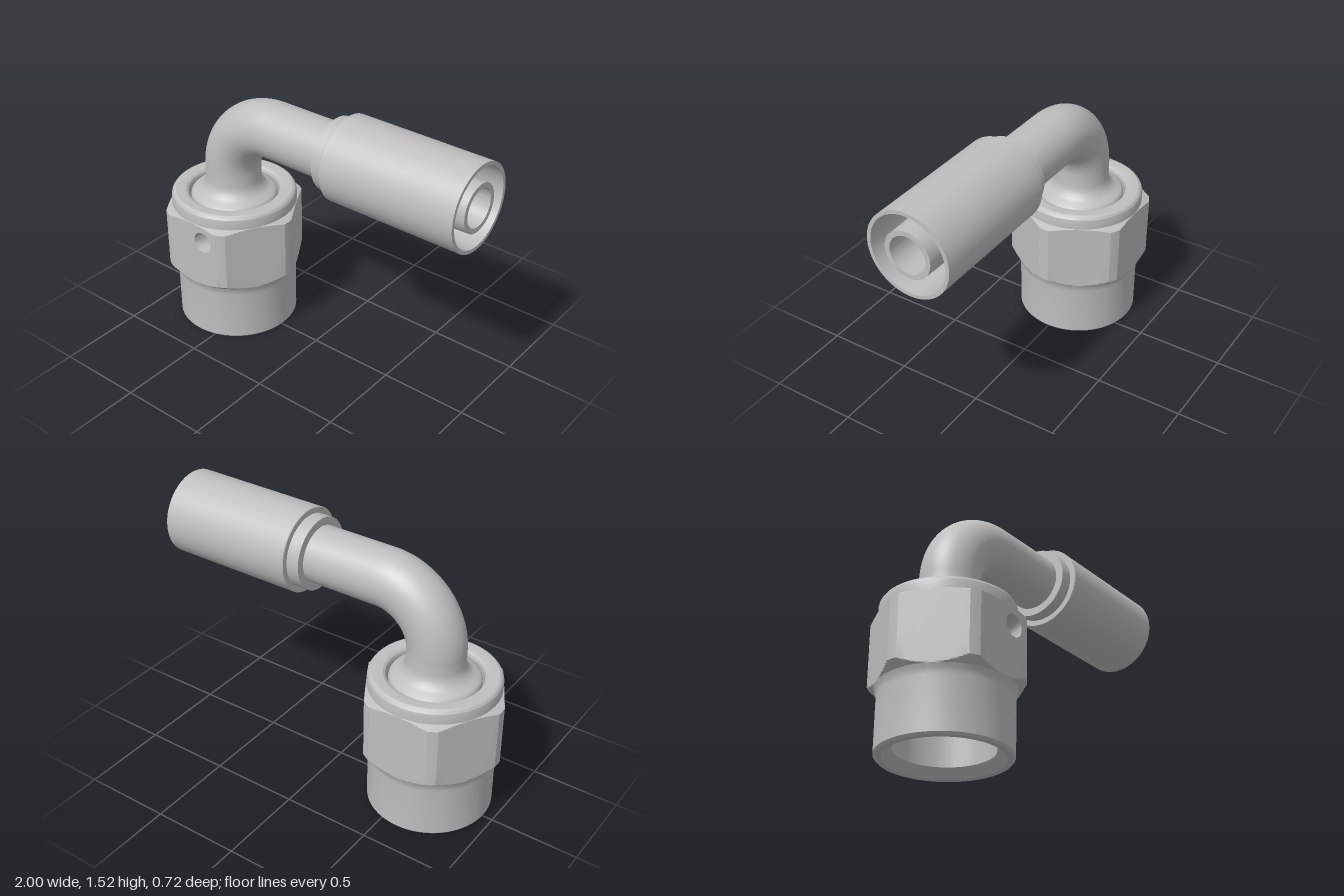
import * as THREE from 'three';
import { toCreasedNormals } from 'three/addons/utils/BufferGeometryUtils.js';

const NUT_X = -0.6, FLAT = 0.36;          // nut axis and half the width across flats
const TUBE_R = 0.158, TUBE_Y = 1.283;     // elbow tube radius and height of its outlet
const BEND_R = 0.318;
const HOLE = { x: 0.08, y: 0.645, r: 0.062 };

const lathe = (pts, segments = 96) =>
  new THREE.LatheGeometry(pts.map(([r, y]) => new THREE.Vector2(r, y)), segments);

export function createModel() {
  const model = new THREE.Group();
  const steel = new THREE.MeshStandardMaterial({ color: 0xbfbfbf });
  steel.name = 'brushedSteel';

  function add(parent, name, geometry, x = 0, y = 0, z = 0) {
    const mesh = new THREE.Mesh(geometry, steel);
    mesh.name = name;
    mesh.position.set(x, y, z);
    parent.add(mesh);
    return mesh;
  }

  // Swivel nut: a turned profile whose radius is limited by a hexagon
  const nut = new THREE.Group();
  nut.name = 'swivelNut';
  nut.position.x = NUT_X;
  model.add(nut);

  const steps = 6;
  const cone = (r0, y0, r1, y1) => Array.from({ length: steps + 1 }, (_, i) =>
    [r0 + (r1 - r0) * i / steps, y0 + (y1 - y0) * i / steps]);
  const patchLow = 0.5, patchHigh = 0.725;
  const nutProfile = [
    [0.256, 0.05], [0.305, 0], [0.336, 0], [0.346, 0.012], [0.346, 0.3],
    [0.348, 0.318], [0.353, 0.335],
    ...cone(0.36, 0.352, 0.4, 0.387),
    [0.4, patchLow], [0.4, patchHigh],
    ...cone(0.4, 0.732, 0.36, 0.747),
    [0.357, 0.747], [0.357, 0.79], [0.354, 0.805], [0.346, 0.817], [0.333, 0.824],
    [0.29, 0.824], [0.273, 0.82], [0.261, 0.811], [0.256, 0.797], [0.256, 0.05],
  ];
  const turned = lathe(nutProfile, 180);
  const p = turned.attributes.position;
  for (let i = 0; i < p.count; i++) {
    const r = Math.hypot(p.getX(i), p.getZ(i));
    const angle = Math.atan2(p.getX(i), p.getZ(i));
    const local = angle - Math.round(angle / (Math.PI / 3)) * Math.PI / 3;
    const k = Math.min(1, FLAT / Math.cos(local) / r);
    p.setX(i, p.getX(i) * k);
    p.setZ(i, p.getZ(i) * k);
  }

  // Open a window in the front flat, to be filled by a plate with the hole
  const halfPatch = FLAT * Math.tan(THREE.MathUtils.degToRad(24));
  const index = turned.index.array, kept = [];
  for (let i = 0; i < index.length; i += 3) {
    const tri = [index[i], index[i + 1], index[i + 2]];
    const inside = tri.every(v => p.getZ(v) > FLAT - 0.001 &&
      Math.abs(p.getX(v)) < halfPatch + 0.001 &&
      p.getY(v) > patchLow - 0.001 && p.getY(v) < patchHigh + 0.001);
    if (!inside) kept.push(...tri);
  }
  turned.setIndex(kept);
  add(nut, 'hexNutBody', toCreasedNormals(turned, 0.32));

  const plate = new THREE.Shape([
    new THREE.Vector2(-halfPatch, patchLow), new THREE.Vector2(halfPatch, patchLow),
    new THREE.Vector2(halfPatch, patchHigh), new THREE.Vector2(-halfPatch, patchHigh),
  ]);
  plate.holes.push(new THREE.Path().absarc(HOLE.x, HOLE.y, HOLE.r, 0, Math.PI * 2, true));
  add(nut, 'frontFlat', new THREE.ShapeGeometry(plate, 32), 0, 0, FLAT);

  // Slanted wire hole: a profile running inward so its wall faces the hole axis
  const hole = lathe([[HOLE.r, 0], [HOLE.r, -0.09], [0, -0.1]], 40);
  hole.rotateX(Math.PI / 2);
  const h = hole.attributes.position;
  for (let i = 0; i < h.count; i++) h.setX(i, h.getX(i) - h.getZ(i) * 0.35);
  add(nut, 'wireHole', toCreasedNormals(hole, 0.6), HOLE.x, HOLE.y, FLAT);

  // Flared tube end seated inside the nut
  const flare = lathe([
    [0, 0.45], [0.21, 0.45], [0.246, 0.49], [0.246, 0.79], [0.242, 0.802], [0.23, 0.812],
    [0.205, 0.822], [0.187, 0.835], [0.172, 0.853], [0.162, 0.875], [TUBE_R, 0.9],
    [TUBE_R, TUBE_Y - BEND_R],
  ]);
  add(model, 'flaredTubeEnd', toCreasedNormals(flare, 0.6), NUT_X);

  // Quarter bend and straight outlet
  const bendX = NUT_X + BEND_R;
  const bend = new THREE.TorusGeometry(BEND_R, TUBE_R, 64, 40, Math.PI / 2);
  bend.rotateZ(Math.PI / 2);
  add(model, 'elbowBend', bend, bendX, TUBE_Y - BEND_R);

  const length = 0.15 - bendX;
  const outlet = new THREE.CylinderGeometry(TUBE_R, TUBE_R, length, 64, 1, true);
  outlet.rotateZ(-Math.PI / 2);
  add(model, 'outletTube', outlet, bendX + length / 2, TUBE_Y);

  // Crimp sleeve with step collar, annular socket, inner nipple and blind bore
  const sleeve = lathe([
    [0.15, 0.13], [0.203, 0.13], [0.203, 0.203], [0.234, 0.203], [0.238, 0.208],
    [0.238, 1], [0.217, 1], [0.206, 0.35], [0.145, 0.35], [0.132, 1],
    [0.104, 1], [0.104, 0.24], [0, 0.18],
  ]);
  sleeve.rotateZ(-Math.PI / 2);
  add(model, 'crimpSleeve', toCreasedNormals(sleeve, 0.5), 0, TUBE_Y);

  return model;
}
